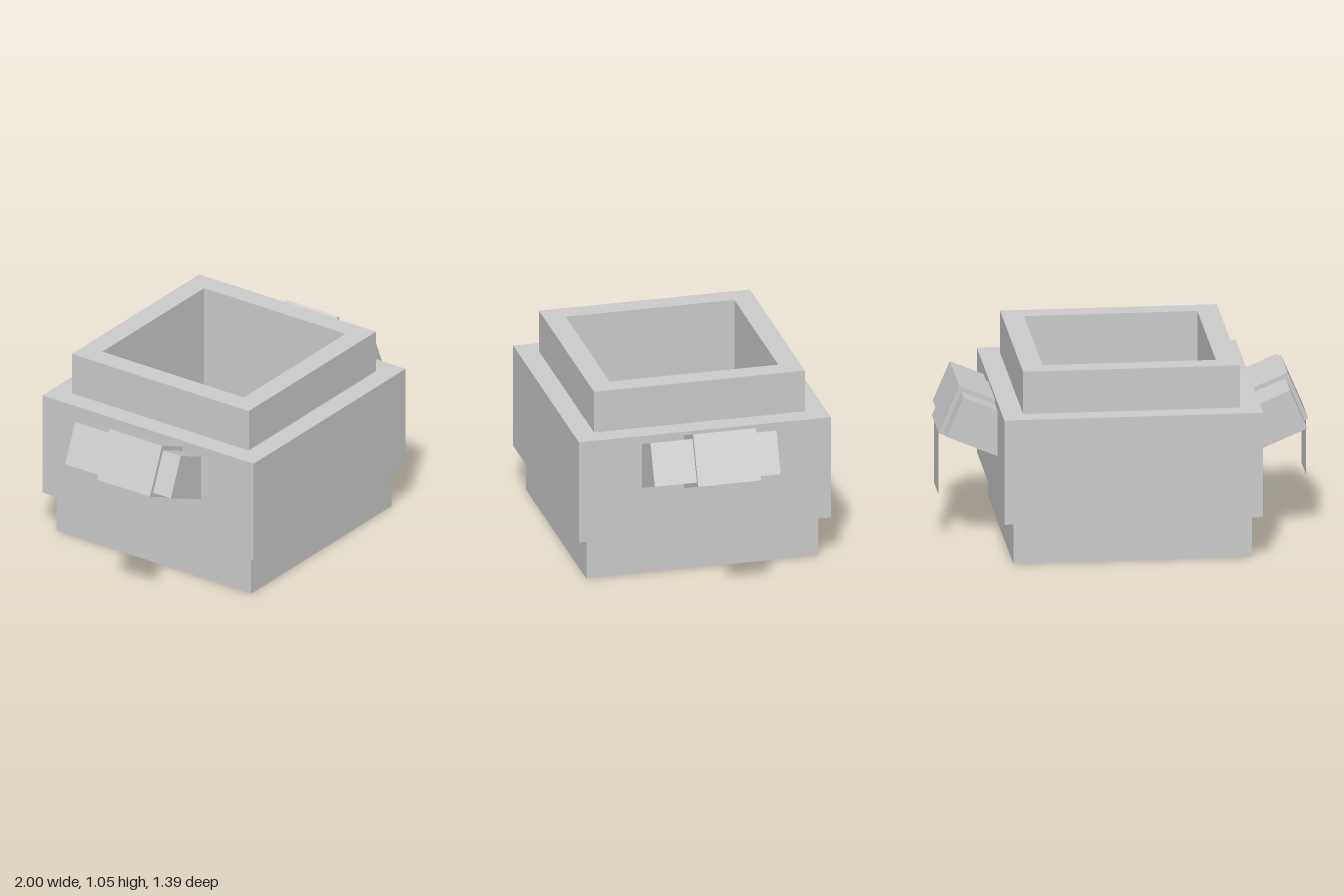
import * as THREE from 'three';

const stone = new THREE.MeshStandardMaterial({ color: 0xcccccc });
stone.name = 'pale grey';
const strapGrey = stone.clone();
strapGrey.side = THREE.DoubleSide;

function addBox(parent, name, size, pos) {
  const mesh = new THREE.Mesh(new THREE.BoxGeometry(...size), stone);
  mesh.name = name;
  mesh.position.set(...pos);
  parent.add(mesh);
}

// Square outline with half-width h
const square = (Type, h) => new Type([
  new THREE.Vector2(-h, -h), new THREE.Vector2(h, -h),
  new THREE.Vector2(h, h), new THREE.Vector2(-h, h),
]);

// Square wall ring from y0 to y1 around the shared cavity
function addFrame(parent, name, half, hole, y0, y1) {
  const shape = square(THREE.Shape, half);
  shape.holes.push(square(THREE.Path, hole));
  const geo = new THREE.ExtrudeGeometry(shape, { depth: y1 - y0, bevelEnabled: false });
  geo.rotateX(-Math.PI / 2).translate(0, y0, 0);
  const mesh = new THREE.Mesh(geo, stone);
  mesh.name = name;
  parent.add(mesh);
}

// Upturned handle with a wrapped band and a hanging strip of cloth
function makeHandle(name) {
  const handle = new THREE.Group();
  handle.name = name;
  const grip = new THREE.Group();
  grip.name = 'grip';
  grip.position.set(0.943, 0.748, 0);
  grip.rotation.z = THREE.MathUtils.degToRad(23);
  addBox(grip, 'handleBar', [0.34, 0.234, 0.695], [-0.192, 0, 0]);
  addBox(grip, 'handleWrap', [0.38, 0.282, 0.346], [-0.19, 0, -0.058]);
  handle.add(grip);

  const strap = new THREE.Mesh(new THREE.PlaneGeometry(0.231, 0.345), strapGrey);
  strap.name = 'hangingStrap';
  strap.rotation.y = Math.PI / 2;
  strap.position.set(0.998, 0.4475, -0.1155);
  handle.add(strap);
  return handle;
}

export function createModel() {
  const model = new THREE.Group();
  model.name = 'pot';

  // Stacked square pot, its cavity open down to the base
  addBox(model, 'base', [1.28, 0.235, 1.28], [0, 0.1175, 0]);
  addFrame(model, 'body', 0.695, 0.465, 0.235, 0.815);
  addFrame(model, 'rim', 0.582, 0.465, 0.815, 1.05);

  // Handles, the second turned half round and set slightly lower
  model.add(makeHandle('leftHandle'));
  const right = makeHandle('rightHandle');
  right.rotation.y = Math.PI;
  right.position.y = -0.014;
  model.add(right);

  return model;
}
